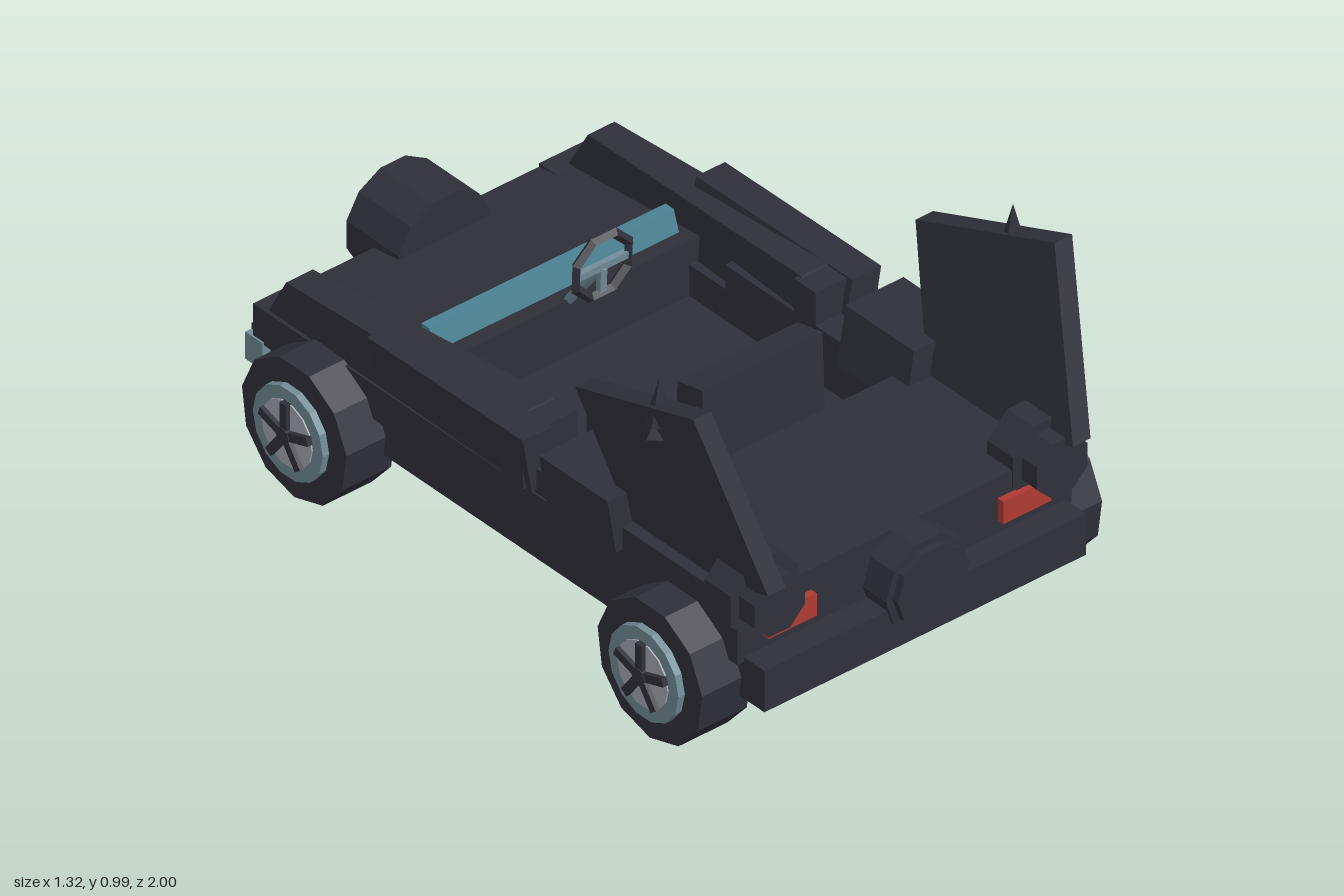
import * as THREE from 'three';

const mat = (name, color) => {
  const m = new THREE.MeshStandardMaterial({ color });
  m.name = name;
  return m;
};

export function createModel() {
  const car = new THREE.Group();
  car.name = 'openCar';
  const dark = mat('charcoal', 0x30303a);
  const steel = mat('blueGrey', 0x708b96);
  const teal = mat('tealGlass', 0x4a8091);
  const silver = mat('silver', 0xa6a8b2);
  const red = mat('lampRed', 0xb03a33);

  const add = (name, geo, material, parent = car) => {
    const g = geo.index ? geo.toNonIndexed() : geo;
    g.computeVertexNormals(); // faceted look
    const mesh = new THREE.Mesh(g, material);
    mesh.name = name;
    parent.add(mesh);
    return mesh;
  };
  // Box from its limits
  const box = (name, x0, x1, y0, y1, z0, z1, m = dark, parent = car) =>
    add(name, new THREE.BoxGeometry(x1 - x0, y1 - y0, z1 - z0)
      .translate((x0 + x1) / 2, (y0 + y1) / 2, (z0 + z1) / 2), m, parent);
  // Side profile of [z, y] points, extruded from x0 to x1
  const profile = (pts, x0, x1) =>
    new THREE.ExtrudeGeometry(new THREE.Shape(pts.map(p => new THREE.Vector2(...p))),
      { depth: x1 - x0, bevelEnabled: false }).rotateY(-Math.PI / 2).translate(x1, 0, 0);
  // Profile on one side of the car, with x shifted outward by a rule
  const sidePart = (name, s, pts, x0, x1, rule) => {
    const g = s > 0 ? profile(pts, x0, x1) : profile(pts, -x1, -x0);
    const p = g.attributes.position;
    for (let i = 0; i < p.count; i++)
      p.setX(i, p.getX(i) + s * rule(Math.abs(p.getX(i)), p.getY(i), p.getZ(i)));
    return add(name, g, dark);
  };
  // Cylinder lying along z
  const drum = (name, r, x, y, z0, z1, n, m = dark) =>
    add(name, new THREE.CylinderGeometry(r, r, z1 - z0, n, 1, false, Math.PI / n)
      .rotateX(Math.PI / 2).translate(x, y, (z0 + z1) / 2), m);

  // Hull
  box('lowerBody', -0.5, 0.5, 0.165, 0.28, -0.89, 0.9);
  box('frontBumper', -0.5, 0.5, 0.165, 0.285, 0.88, 0.965);
  box('rearDeck', -0.52, 0.52, 0.275, 0.445, 0.41, 0.89);
  add('hood', profile([[-0.33, 0.275], [-0.33, 0.44], [-0.4, 0.43], [-0.88, 0.36], [-0.88, 0.275]], -0.45, 0.45), dark);

  // Windscreen strip
  add('windscreen', profile([[-0.37, 0.40], [-0.40, 0.49], [-0.43, 0.49], [-0.40, 0.40]], -0.38, 0.38), teal);

  // Seat
  box('seatCushion', -0.19, 0.19, 0.27, 0.4, -0.05, 0.38);
  add('seatBack', profile([[0.27, 0.38], [0.28, 0.615], [0.37, 0.635], [0.38, 0.38]], -0.187, 0.187), dark);
  box('seatPad', -0.14, 0.14, 0.43, 0.58, 0.262, 0.28);

  // Steering wheel and column
  const steering = new THREE.Group();
  steering.name = 'steeringWheel';
  steering.position.set(0, 0.6, -0.215);
  steering.rotation.x = 0.05;
  car.add(steering);
  add('rim', new THREE.TorusGeometry(0.088, 0.014, 4, 8).rotateZ(Math.PI / 8), dark, steering);
  box('crossSpoke', -0.08, 0.08, -0.01, 0.01, -0.008, 0.008, steel, steering);
  box('lowerSpoke', -0.01, 0.01, -0.08, 0, -0.008, 0.008, steel, steering);
  add('steeringColumn', new THREE.CylinderGeometry(0.012, 0.012, 0.22, 6)
    .rotateX(0.65).translate(0, 0.51, -0.28), steel);

  // Tail drum and spare wheel
  drum('centreDrum', 0.13, 0, 0.32, 0.88, 0.975, 10);
  drum('centreDrumCap', 0.11, 0, 0.32, 0.97, 0.995, 10);
  drum('spareTyre', 0.15, 0, 0.345, -0.98, -0.79, 12);
  drum('spareCap', 0.11, 0, 0.345, -1.0, -0.97, 12, steel);
  box('backBumper', -0.525, 0.525, 0.2, 0.278, -0.903, -0.84, steel);
  box('backBumperTrim', -0.505, 0.505, 0.278, 0.295, -0.903, -0.84);

  for (const s of [1, -1]) {
    const sided = (name, a, b, ...rest) => box(name, Math.min(s * a, s * b), Math.max(s * a, s * b), ...rest);
    const lean = (x, y) => (y - 0.44) * 0.17;

    // Side wall, fender, door top and rear shoulder
    sided('sideWall', 0.37, 0.52, 0.27, 0.37, -0.88, 0.89);
    sided('sideWallTop', 0.37, 0.515, 0.36, 0.44, -0.2, 0.45);
    sidePart('fender', s, [[0.13, 0.36], [0.06, 0.54], [-0.77, 0.485], [-0.84, 0.36]], 0.37, 0.52,
      (x, y, z) => (x < 0.45 ? Math.max(0, 0.05 - z) * 0.06 + Math.max(0, y - 0.4) * 0.1 : -Math.max(0, -z) * 0.012));
    sidePart('doorTop', s, [[0.15, 0.38], [0.15, 0.54], [-0.42, 0.535], [-0.42, 0.43], [-0.2, 0.42]], 0.45, 0.54, lean);
    sided('doorEnd', 0.37, 0.54, 0.38, 0.535, 0.05, 0.13);
    sidePart('rearShoulder', s, [[0.22, 0.38], [0.22, 0.54], [0.47, 0.54], [0.47, 0.38]], 0.37, 0.55, lean);

    // Raised panel leaning outward, with its small fins
    const tilt = (x, y) => (y - 0.5) * 0.19;
    sidePart('raisedPanel', s, [[0.98, 0.51], [0.81, 0.97], [0.34, 0.80], [0.46, 0.45], [0.8, 0.45]], 0.445, 0.5, tilt);
    add('panelSpike', new THREE.ConeGeometry(0.035, 0.13, 5).translate(s * 0.55, 0.92, 0.64), dark);
    add('panelFin', new THREE.ConeGeometry(0.04, 0.07, 4).translate(s * 0.55, 0.855, 0.64), dark);

    // Round lamps and red lights
    drum('lampHousing', 0.115, s * 0.44, 0.44, 0.8, 0.895, 8);
    drum('lampCap', 0.085, s * 0.44, 0.44, 0.89, 0.95, 8);
    sided('redLight', 0.29, 0.44, 0.32, 0.385, 0.88, 0.91, red);
    sided('bumperPlate', 0.28, 0.43, 0.235, 0.3, -0.912, -0.9);

    // Wheels
    for (const z of [0.69, -0.61]) {
      const wheel = new THREE.Group();
      wheel.name = 'wheel';
      wheel.position.set(s * 0.47, 0.193, z);
      wheel.rotation.y = s > 0 ? 0 : Math.PI;
      car.add(wheel);
      const disc = (name, r, x0, x1, n, m) =>
        add(name, new THREE.CylinderGeometry(r, r, x1 - x0, n, 1, false)
          .rotateZ(-Math.PI / 2).translate((x0 + x1) / 2, 0, 0), m, wheel);
      // odd-sided tyre resting on a corner
      const tyre = disc('tyre', 0.193, 0, 0.152, 11, dark);
      tyre.rotation.x = Math.PI / 2;
      disc('rim', 0.128, 0.14, 0.172, 14, steel);
      disc('hubFace', 0.092, 0.15, 0.176, 14, silver);
      for (let i = 0; i < 5; i++)
        box('spoke', 0.17, 0.188, 0, 0.092, -0.012, 0.012, dark, wheel).rotation.x = i * Math.PI * 2 / 5;
      disc('hubCap', 0.024, 0.17, 0.19, 8, dark);
    }
  }
  return car;
}
